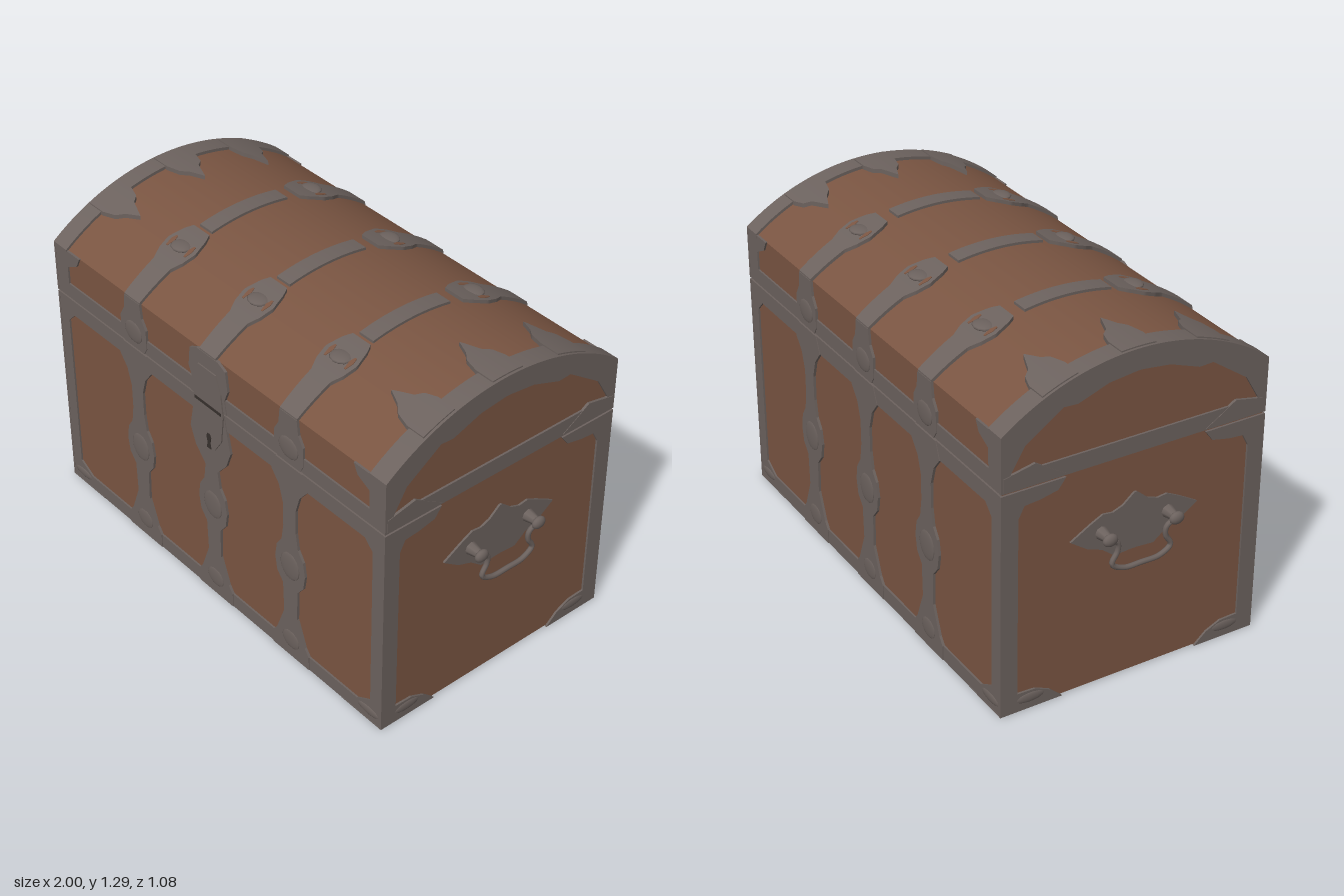
import * as THREE from 'three';
import { toCreasedNormals } from 'three/addons/utils/BufferGeometryUtils.js';

const wood = new THREE.MeshStandardMaterial({ color: 0x7a5542 });
const iron = new THREE.MeshStandardMaterial({ color: 0x6c625e });
const dark = new THREE.MeshStandardMaterial({ color: 0x37302d });
wood.name = 'wood'; iron.name = 'iron'; dark.name = 'darkIron';

const W = 0.93, D = 0.53, HW = 0.922, HD = 0.522; // outer iron and inner wood half sizes
const SEAM = 0.889, R = 0.87, TOP = 1.272;
const arc = (z) => TOP - R + Math.sqrt(R * R - z * z);

function add(parent, name, geo, mat, x = 0, y = 0, z = 0) {
  const m = new THREE.Mesh(geo, mat);
  m.name = name;
  m.position.set(x, y, z);
  parent.add(m);
  return m;
}

const poly = (pts) => new THREE.Shape(pts.map(([x, y]) => new THREE.Vector2(x, y)));
const mirrored = (pts) => [...pts, ...pts.map(([x, y]) => [-x, y]).reverse()];
const flip = (pts) => pts.map(([x, y]) => [-x, y]);

// flat plate with an optional opening
function plate(outline, depth, hole) {
  const s = poly(outline);
  if (hole) s.holes.push(poly(hole));
  return new THREE.ExtrudeGeometry(s, { depth, bevelEnabled: false });
}

// upright symmetric strap from rows of [height, half width]
const strap = (rows, depth) => plate(mirrored(rows.map(([y, w]) => [w, y])), depth);

// strap bent over the lid, from rows of [z, x0, x1] with rising z
function bent(rows, thick) {
  const g = new THREE.BoxGeometry(1, 1, 1, 1, 1, 48).toNonIndexed();
  const p = g.attributes.position;
  const z0 = rows[0][0], z1 = rows[rows.length - 1][0];
  for (let i = 0; i < p.count; i++) {
    const z = z0 + (z1 - z0) * (p.getZ(i) + 0.5);
    let k = 0;
    while (k < rows.length - 2 && z > rows[k + 1][0]) k++;
    const a = rows[k], b = rows[k + 1];
    const t = (z - a[0]) / (b[0] - a[0]);
    const c = p.getX(i) < 0 ? 1 : 2;
    p.setXYZ(i, a[c] + (b[c] - a[c]) * t, arc(z) + (p.getY(i) > 0 ? thick : -0.006), z);
  }
  return toCreasedNormals(g, 0.5);
}

function boss(parent, x, y, z, rx, ry, rz) {
  add(parent, 'boss', new THREE.SphereGeometry(1, 12, 8), iron, x, y, z).scale.set(rx, ry, rz);
}

// iron on one long face
function longFace(isFront) {
  const g = new THREE.Group();
  g.name = isFront ? 'frontIronwork' : 'backIronwork';
  const z = HD - 0.002;
  const hole = mirrored([[0.8, 0.06], [0.87, 0.1], [0.87, 0.78], [0.83, 0.82]]);
  add(g, 'bodyFrame', plate([[-W, 0], [W, 0], [W, 0.885], [-W, 0.885]], 0.009, hole), iron, 0, 0, z);
  const side = [[W, 0.893], [W, 1.1], [0.77, 1.1], [0.79, 1.06], [0.85, 1.03], [0.85, 0.955]];
  add(g, 'lidRim', plate(mirrored(side), 0.009), iron, 0, 0, z);
  const lower = [[0, 0.1], [0.06, 0.1], [0.09, 0.078], [0.15, 0.055], [0.2, 0.036], [0.33, 0.04], [0.37, 0.072],
    [0.43, 0.082], [0.49, 0.072], [0.53, 0.045], [0.6, 0.034], [0.7, 0.034], [0.77, 0.055], [0.82, 0.095], [0.885, 0.07]];
  const upper = [[0.893, 0.06], [0.92, 0.076], [1.0, 0.076], [1.04, 0.052], [1.1, 0.045]];
  const lockLower = [...lower.slice(0, 10), [0.6, 0.035], [0.66, 0.088], [0.73, 0.115], [0.8, 0.1], [0.885, 0.085]];
  const lockUpper = [[0.893, 0.1], [0.95, 0.09], [1.0, 0.11], [1.08, 0.1], [1.1, 0.06]];
  for (const x of [-0.44, 0, 0.44]) {
    const lock = isFront && x === 0;
    add(g, 'lowerStrap', strap(lock ? lockLower : lower, 0.012), iron, x, 0, z);
    add(g, 'upperStrap', strap(lock ? lockUpper : upper, 0.012), iron, x, 0, z);
    boss(g, x, 0.43, HD + 0.009, 0.055, 0.06, 0.006);
    boss(g, x, 0.08, HD + 0.009, 0.05, 0.04, 0.005);
    if (!lock) boss(g, x, 0.96, HD + 0.009, 0.055, 0.045, 0.006);
  }
  if (isFront) {
    add(g, 'hasp', strap([[0.7, 0.03], [0.76, 0.07], [0.875, 0.085], [0.97, 0.075], [1.04, 0.05]], 0.006), iron, 0, 0, HD + 0.009);
    add(g, 'haspHinge', new THREE.BoxGeometry(0.15, 0.012, 0.004), dark, 0, 0.885, HD + 0.015);
    add(g, 'keyhole', strap([[0.695, 0.012], [0.72, 0.007], [0.745, 0.013], [0.76, 0.006]], 0.003), dark, 0, 0, HD + 0.0145);
  }
  for (const s of [-1, 1]) boss(g, s * 0.86, 0.045, HD + 0.005, 0.06, 0.02, 0.006);
  if (!isFront) g.rotation.y = Math.PI;
  return g;
}

// iron and handle on one end, modelled facing +z and then turned
function endFace(s) {
  const g = new THREE.Group();
  g.name = s > 0 ? 'leftEndIronwork' : 'rightEndIronwork';
  const z = HW - 0.001;
  const post = [[D, 0], [D, 0.885], [0.28, 0.885], [0.31, 0.845], [0.38, 0.83], [0.44, 0.825], [0.463, 0.78],
    [0.463, 0.075], [0.39, 0.072], [0.33, 0.045], [0.28, 0]];
  add(g, 'cornerPost', plate(post, 0.009), iron, 0, 0, z);
  add(g, 'cornerPost', plate(flip(post), 0.009), iron, 0, 0, z);

  // lid end frame following the arch
  const rim = [[-D, 0.893], [D, 0.893]];
  for (let i = 0; i <= 20; i++) {
    const u = D - (2 * D * i) / 20;
    rim.push([u, arc(u) + 0.012]);
  }
  const opening = mirrored([[0.495, 0.957], [0.44, 1.05], [0.295, 1.15], [0.24, 1.147], [0.12, 1.19], [0.01, 1.203]]);
  add(g, 'lidEndFrame', plate(rim, 0.009, opening), iron, 0, 0, z);
  for (const k of [-1, 1]) {
    const leaf = [[0.52, 0.9], [0.28, 0.9], [0.33, 0.93], [0.4, 0.975], [0.52, 0.95]];
    add(g, 'lidCornerLeaf', plate(k > 0 ? leaf : flip(leaf), 0.011), iron, 0, 0, z);
    boss(g, k * 0.41, 0.045, HW + 0.006, 0.06, 0.02, 0.006);
  }

  // handle plate, lugs and bail
  const half = [[0.01, 0.515], [0.08, 0.51], [0.13, 0.55], [0.19, 0.572], [0.258, 0.62], [0.18, 0.665], [0.13, 0.69],
    [0.09, 0.685], [0.05, 0.7], [0.005, 0.738]];
  add(g, 'handlePlate', plate(mirrored(half), 0.009), iron, 0, 0, z);
  for (const k of [-1, 1]) {
    const lug = add(g, 'handleLug', new THREE.CylinderGeometry(0.014, 0.026, 0.06, 8), iron, k * 0.135, 0.62, 0.957);
    lug.rotation.x = Math.PI / 2;
    boss(g, k * 0.135, 0.62, 0.984, 0.03, 0.024, 0.016);
  }
  const right = [[0.145, 0.62, 0.978], [0.1, 0.595, 0.976], [0.098, 0.56, 0.974], [0.12, 0.515, 0.975], [0.075, 0.487, 0.977]];
  const pts = [...right, [0, 0.485, 0.978], ...right.map(([x, y, d]) => [-x, y, d]).reverse()];
  const path = new THREE.CatmullRomCurve3(pts.map((p) => new THREE.Vector3(...p)));
  add(g, 'handleBail', new THREE.TubeGeometry(path, 48, 0.01, 8), iron);
  g.rotation.y = (s * Math.PI) / 2;
  return g;
}

// iron bent over the arched lid
function lidIron() {
  const g = new THREE.Group();
  g.name = 'lidIronwork';
  const turn = (rows) => rows.map(([z, a, b]) => [-z, a, b]).reverse();
  for (const x of [-0.44, 0, 0.44]) {
    const rows = [[0.21, 0.045], [0.24, 0.062], [0.3, 0.08], [0.35, 0.07], [0.39, 0.05], [0.53, 0.045]]
      .map(([z, w]) => [z, x - w, x + w]);
    add(g, 'frontRosetteStrap', bent(rows, 0.014), iron);
    add(g, 'backRosetteStrap', bent(turn(rows), 0.014), iron);
    add(g, 'crownStrap', bent([[-0.16, x - 0.035, x + 0.035], [0.19, x - 0.035, x + 0.035]], 0.01), iron);
    for (const s of [-1, 1]) {
      boss(g, x, arc(0.3) + 0.012, s * 0.3, 0.045, 0.012, 0.04);
      // pierced openings in the rosette
      for (const k of [-1, 1]) {
        const c = x + k * 0.052;
        const slot = [[0.28, c - 0.004, c + 0.004], [0.3, c - 0.01, c + 0.01], [0.33, c - 0.004, c + 0.004]];
        add(g, 'rosetteOpening', bent(s > 0 ? slot : turn(slot), 0.016), wood);
      }
    }
  }
  for (const s of [-1, 1]) {
    const order = (rows) => rows.map(([z, i, o]) => (s > 0 ? [z, i, o] : [z, -o, -i]));
    add(g, 'endBand', bent(order([[-D, 0.85, W], [D, 0.85, W]]), 0.012), iron);
    for (const z of [-0.3, 0, 0.3]) {
      const leaf = [[-0.07, 0.84, 0.92], [-0.055, 0.79, 0.92], [-0.03, 0.77, 0.92], [0, 0.69, 0.92],
        [0.025, 0.75, 0.92], [0.05, 0.78, 0.92], [0.065, 0.84, 0.92]];
      add(g, 'endLeaf', bent(order(leaf.map(([d, i, o]) => [z + d, i, o])), 0.017), iron);
    }
  }
  return g;
}

export function createModel() {
  const chest = new THREE.Group();
  chest.name = 'chest';

  // wooden body and arched lid
  add(chest, 'body', new THREE.BoxGeometry(HW * 2, SEAM - 0.004, HD * 2), wood, 0, (SEAM + 0.004) / 2, 0);
  const profile = [[-HD, SEAM], [HD, SEAM]];
  for (let i = 0; i <= 32; i++) {
    const z = HD - (2 * HD * i) / 32;
    profile.push([z, arc(z)]);
  }
  const lidGeo = plate(profile, HW * 2).translate(0, 0, -HW).rotateY(Math.PI / 2);
  add(chest, 'lid', toCreasedNormals(lidGeo, 0.4), wood);

  chest.add(longFace(true), longFace(false), endFace(1), endFace(-1), lidIron());

  // corner plates under the base
  for (const sx of [-1, 1]) for (const sz of [-1, 1]) {
    const pts = [[W, D], [0.72, D], [0.76, 0.44], [0.85, 0.37], [W, 0.32]].map(([x, z]) => [x * sx, z * sz]);
    add(chest, 'baseCorner', plate(pts, 0.005).rotateX(Math.PI / 2).translate(0, 0.005, 0), iron);
  }
  return chest;
}
